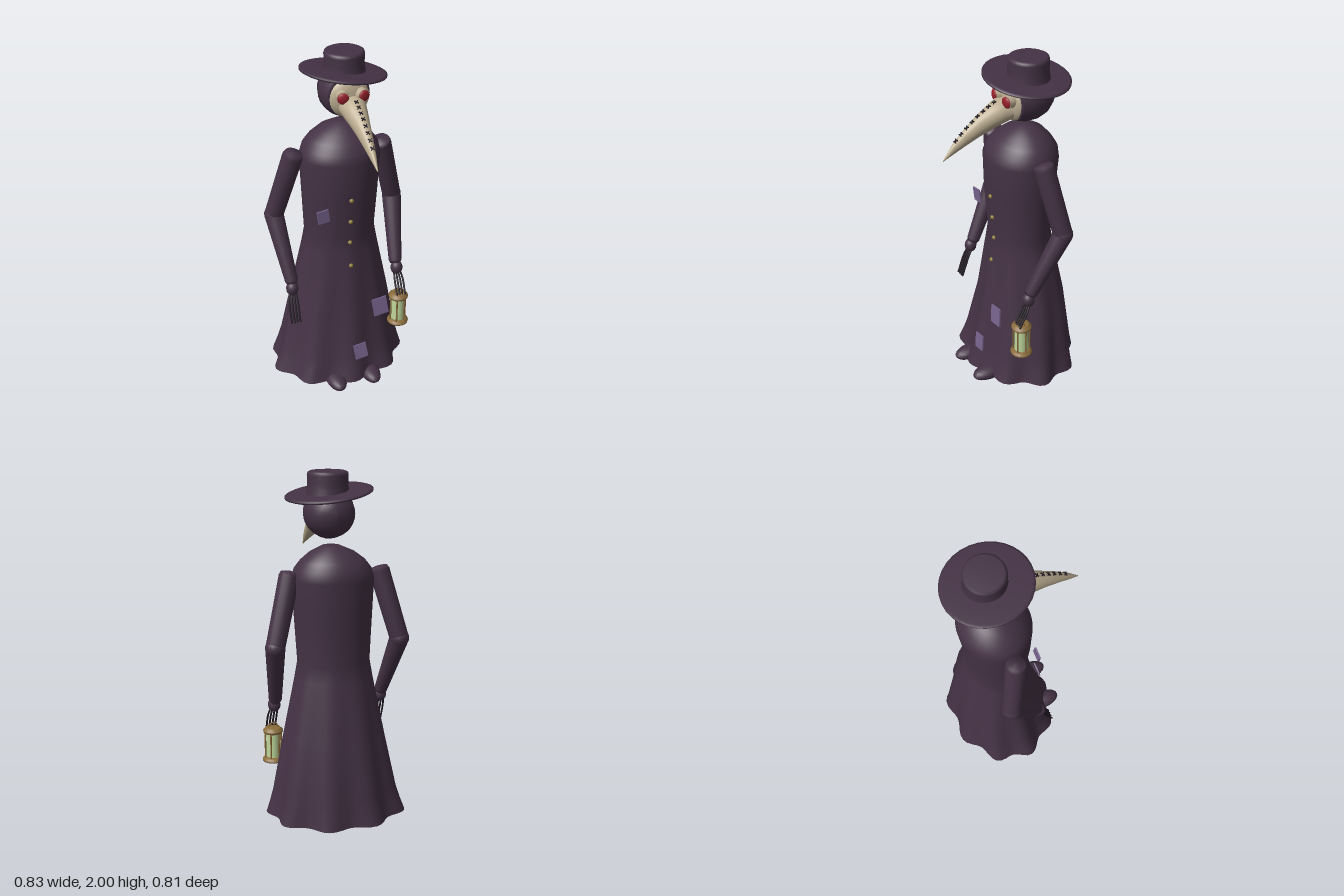
import * as THREE from 'three';

const mat = (name, color, side = THREE.FrontSide) => {
  const m = new THREE.MeshStandardMaterial({ color, side });
  m.name = name;
  return m;
};

export function createModel() {
  const cloth = mat('dark plum cloth', 0x443245);
  const coat = mat('dark plum coat', 0x443245, THREE.DoubleSide);
  const bone = mat('bone leather', 0xbdae92);
  const red = mat('red glass', 0x96202c);
  const black = mat('black', 0x221c24);
  const patchMat = mat('lilac patch', 0x76638c);
  const gold = mat('button gold', 0x94803c);
  const brass = mat('lantern brass', 0x8a6c3c);
  const glow = mat('pale green glass', 0xc0d99c);

  const model = new THREE.Group();
  const V = (x, y, z) => new THREE.Vector3(x, y, z);
  const add = (name, geo, material, pos = [0, 0, 0], parent = model) => {
    const mesh = new THREE.Mesh(geo, material);
    mesh.name = name;
    mesh.position.set(...pos);
    parent.add(mesh);
    return mesh;
  };
  const lathe = (pts, n) => new THREE.LatheGeometry(pts.map(p => new THREE.Vector2(...p)), n);

  // Closed rings joined into one skin
  const loft = (rows, n, point) => {
    const pos = [], idx = [];
    rows.forEach((row, i) => {
      for (let j = 0; j < n; j++) {
        pos.push(...point(row, j / n * Math.PI * 2));
        if (!i) continue;
        const a = (i - 1) * n + j, b = (i - 1) * n + (j + 1) % n;
        idx.push(a, a + n, b, b, a + n, b + n);
      }
    });
    const g = new THREE.BufferGeometry();
    g.setAttribute('position', new THREE.Float32BufferAttribute(pos, 3));
    g.setIndex(idx);
    g.computeVertexNormals();
    return g;
  };

  // Tapered limb from point a to point b
  const limb = (name, a, b, ra, rb, material, parent) => {
    const len = a.distanceTo(b);
    const g = lathe([[0, -0.012], [rb * 0.8, -0.008], [rb, 0.012], [ra, len - 0.015],
      [ra * 0.85, len + 0.006], [0, len + 0.014]], 16);
    const mesh = add(name, g, material, b.toArray(), parent);
    mesh.quaternion.setFromUnitVectors(V(0, 1, 0), a.clone().sub(b).normalize());
    return mesh;
  };

  // Long coat: y, centre x, centre z, half width, half depth, fold depth
  const coatRows = [
    [1.60, 0.03, -0.10, 0.002, 0.002, 0], [1.60, 0.03, -0.10, 0.05, 0.05, 0],
    [1.565, 0.025, -0.10, 0.125, 0.11, 0], [1.52, 0.02, -0.095, 0.18, 0.155, 0],
    [1.475, 0.018, -0.09, 0.214, 0.188, 0], [1.42, 0.015, -0.085, 0.23, 0.20, 0],
    [1.2, 0.012, -0.08, 0.219, 0.188, 0], [0.95, 0.01, -0.083, 0.206, 0.168, 0],
    [0.85, 0.01, -0.085, 0.224, 0.182, 0.001], [0.5, 0.01, -0.10, 0.295, 0.236, 0.006],
    [0.2, 0.0, -0.092, 0.35, 0.284, 0.014], [0.12, -0.005, -0.088, 0.37, 0.297, 0.018],
    [0.045, -0.01, -0.083, 0.393, 0.315, 0.022]];
  add('coat', loft(coatRows, 72, ([y, cx, cz, w, d, f], t) => {
    const k = f * Math.cos(9 * t);
    return [cx + (w + k) * Math.sin(t), y, cz + (d + k) * Math.cos(t)];
  }), coat);

  // Shoes
  for (const x of [-0.108, 0.11]) {
    add('shoe', new THREE.SphereGeometry(1, 20, 12).scale(0.058, 0.042, 0.112), cloth, [x, 0.045, 0.182]);
  }

  // Coat buttons
  for (const [y, z] of [[1.205, 0.108], [1.065, 0.097], [0.925, 0.087], [0.78, 0.105]]) {
    add('button', new THREE.SphereGeometry(0.013, 10, 8), gold, [0.015, y, z]);
  }

  // Sewn patches: x, y, z, width, height, backward lean
  for (const [x, y, z, w, h, lean] of [[-0.147, 1.13, 0.1, 0.068, 0.08, 0.05],
    [0.172, 0.505, 0.175, 0.09, 0.11, -0.13], [0.04, 0.235, 0.21, 0.078, 0.095, -0.15]]) {
    const p = add('patch', new THREE.BoxGeometry(w, h, 0.008), patchMat, [x, y, z]);
    p.rotation.set(lean, 0, 0.14);
  }

  // Sleeves, hands and fingers
  for (const s of [-1, 1]) {
    const arm = new THREE.Group();
    arm.name = s > 0 ? 'leftArm' : 'rightArm';
    model.add(arm);
    const shoulder = V(s * 0.255, 1.455, -0.075);
    const elbow = V(s * 0.36, 1.06, -0.143);
    const wrist = V(s * 0.32, 0.70, 0.037);
    limb('upperSleeve', shoulder, elbow, 0.058, 0.054, cloth, arm);
    add('elbow', new THREE.SphereGeometry(0.056, 18, 12), cloth, elbow.toArray(), arm);
    limb('foreSleeve', elbow, wrist, 0.055, 0.038, cloth, arm);
    add('hand', new THREE.SphereGeometry(0.036, 16, 12).scale(1, 1.2, 1), cloth, [s * 0.323, 0.668, 0.052], arm);
    for (let i = 0; i < 4; i++) {
      const x = s * (0.302 + i * 0.017), end = s > 0 ? 0.51 : 0.475;
      const path = new THREE.CatmullRomCurve3([V(s * 0.323 + (x - s * 0.327) * 0.7, 0.65, 0.055),
        V(x, 0.6, 0.08), V(x, end, 0.126)]);
      add('finger', new THREE.TubeGeometry(path, 8, 0.0058, 6), black, [0, 0, 0], arm);
    }
  }

  // Lantern
  const lantern = new THREE.Group();
  lantern.name = 'lantern';
  lantern.position.set(0.322, 0.31, 0.095);
  model.add(lantern);
  add('lanternBase', lathe([[0, 0], [0.062, 0], [0.064, 0.01], [0.054, 0.014], [0.05, 0.026], [0, 0.026]], 16),
    brass, [0, 0, 0], lantern);
  add('lanternGlass', new THREE.CylinderGeometry(0.041, 0.041, 0.155, 16), glow, [0, 0.1, 0], lantern);
  add('lanternCap', lathe([[0, 0.172], [0.052, 0.172], [0.058, 0.18], [0.058, 0.19], [0.044, 0.198],
    [0.04, 0.207], [0, 0.207]], 16), brass, [0, 0, 0], lantern);
  for (let i = 0; i < 6; i++) {
    const a = i / 6 * Math.PI * 2 + Math.PI / 6;
    add('lanternPost', new THREE.CylinderGeometry(0.005, 0.005, 0.16, 6), brass,
      [Math.sin(a) * 0.047, 0.1, Math.cos(a) * 0.047], lantern);
  }
  add('lanternHandle', new THREE.TorusGeometry(0.028, 0.004, 6, 14, Math.PI), brass, [0, 0.203, 0], lantern);

  // Hood and face mask
  add('hood', lathe([[0, -0.25], [0.045, -0.245], [0.088, -0.222], [0.12, -0.18], [0.137, -0.12],
    [0.135, -0.06], [0.121, -0.012], [0.114, 0], [0, 0]], 28).rotateX(Math.PI / 2), cloth, [0.04, 1.777, 0]);
  add('mask', lathe([[0.113, -0.005], [0.108, 0.008], [0.085, 0.026], [0.05, 0.038], [0, 0.042]], 28)
    .rotateX(Math.PI / 2), bone, [0.04, 1.772, 0]);

  // Beak: z, top, bottom, half width
  const beakRows = [[0.015, 1.79, 1.675, 0.074], [0.07, 1.797, 1.658, 0.07], [0.13, 1.768, 1.64, 0.057],
    [0.2, 1.728, 1.613, 0.042], [0.28, 1.668, 1.58, 0.028], [0.35, 1.604, 1.55, 0.016],
    [0.41, 1.529, 1.523, 0.002]];
  add('beak', loft(beakRows, 20, ([z, top, low, w], t) =>
    [0.043 + w * Math.sin(t), (top + low) / 2 + (top - low) / 2 * Math.cos(t), z]), bone);

  // Cross stitches along the top of the beak
  for (let i = 0; i < 8; i++) {
    const z = 0.1 + i * 0.033;
    const k = beakRows.findIndex(r => r[0] > z), a = beakRows[k - 1], b = beakRows[k];
    const slope = (b[1] - a[1]) / (b[0] - a[0]);
    const stitch = new THREE.Group();
    stitch.name = 'stitch';
    stitch.position.set(0.043, a[1] + slope * (z - a[0]) + 0.001, z);
    stitch.rotation.x = -Math.atan(slope);
    model.add(stitch);
    for (const s of [-1, 1]) {
      add('thread', new THREE.BoxGeometry(0.005, 0.008, 0.026), black, [0, 0, 0], stitch).rotation.y = s * 0.8;
    }
  }

  // Goggles
  for (const s of [-1, 1]) {
    const eye = new THREE.Group();
    eye.name = 'goggle';
    eye.position.set(0.042 + s * 0.051, 1.795, 0.02);
    eye.rotation.y = s * 0.2;
    model.add(eye);
    add('goggleRim', new THREE.CylinderGeometry(0.035, 0.038, 0.045, 20).rotateX(Math.PI / 2), bone, [0, 0, 0.018], eye);
    add('lens', new THREE.SphereGeometry(1, 18, 10).scale(0.031, 0.031, 0.013), red, [0, 0, 0.041], eye);
  }

  // Wide hat with a tilted brim
  const brim = add('hatBrim', lathe([[0, -0.012], [0.12, -0.01], [0.225, -0.012], [0.238, -0.006],
    [0.238, 0.002], [0.225, 0.007], [0.15, 0.008], [0, 0.012]], 32), cloth, [0.042, 1.885, -0.102]);
  brim.rotation.set(-0.06, 0, -0.125);
  add('hatCrown', lathe([[0.118, 1.87], [0.113, 1.9], [0.109, 1.94], [0.111, 1.98], [0.107, 1.994],
    [0.095, 2.0], [0, 2.0]], 28), cloth, [0.05, 0, -0.107]);

  return model;
}
